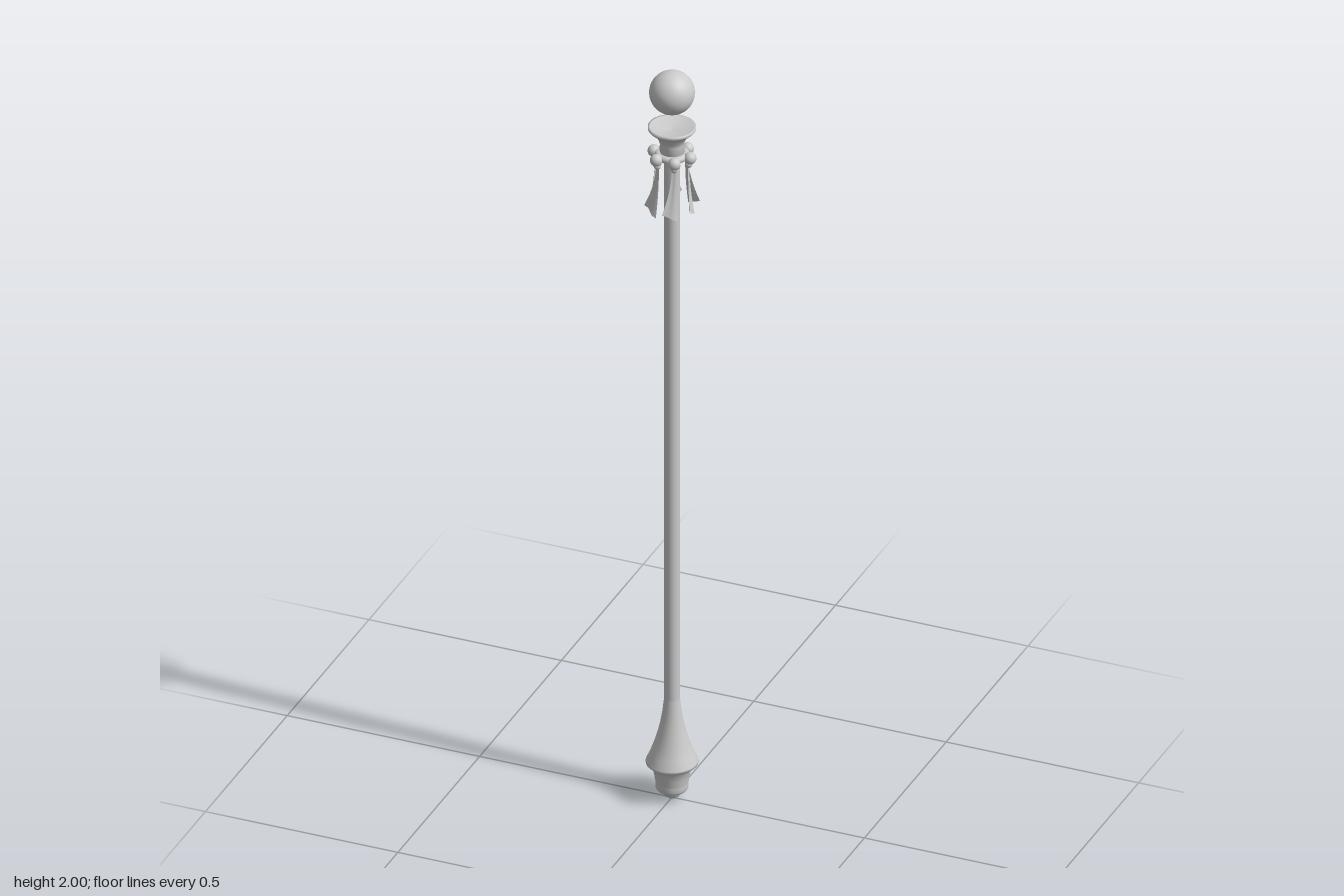
import * as THREE from 'three';

const grey = new THREE.MeshStandardMaterial({ color: 0xcccccc });
const greyThin = new THREE.MeshStandardMaterial({ color: 0xcccccc, side: THREE.DoubleSide });

function part(name, geometry, material = grey) {
  const mesh = new THREE.Mesh(geometry, material);
  mesh.name = name;
  return mesh;
}

function turned(name, points) {
  return part(name, new THREE.LatheGeometry(points.map(([r, y]) => new THREE.Vector2(r, y)), 32));
}

// Cloth strip hanging from a bead: narrow at the knot, flaring and drifting sideways
function ribbonGeometry() {
  const geo = new THREE.PlaneGeometry(1, 1, 4, 8);
  const p = geo.attributes.position;
  for (let i = 0; i < p.count; i++) {
    const u = p.getX(i);
    const t = 0.5 - p.getY(i);
    const width = 0.010 + 0.030 * t * t;
    const x = u * width - 0.012 * t * t;
    const y = 1.765 - t * (0.135 + 0.02 * u);
    const z = 0.043 + 0.014 * t * t + 0.004 * t * Math.sin(u * 6) - 0.006 * u * t;
    p.setXYZ(i, x, y, z);
  }
  geo.computeVertexNormals();
  return geo;
}

export function createModel() {
  const model = new THREE.Group();

  // Long pole
  const pole = part('pole', new THREE.CylinderGeometry(0.019, 0.019, 1.56, 24, 1, true));
  pole.position.y = 1.02;
  model.add(pole);

  // Flared pommel: bell, waist, lip and rounded tip
  model.add(turned('pommelBell', [
    [0.040, 0.045], [0.043, 0.065], [0.047, 0.083], [0.054, 0.092], [0.063, 0.098],
    [0.063, 0.104], [0.053, 0.125], [0.044, 0.15], [0.035, 0.18], [0.028, 0.21],
    [0.023, 0.24], [0.019, 0.275],
  ]));
  model.add(turned('pommelFoot', [
    [0, 0], [0.010, 0.002], [0.018, 0.008], [0.022, 0.018], [0.023, 0.024],
    [0.037, 0.026], [0.040, 0.032], [0.040, 0.045],
  ]));

  // Flared cup beneath the orb
  model.add(turned('cup', [
    [0.019, 1.765], [0.030, 1.785], [0.029, 1.805], [0.032, 1.815], [0.040, 1.83],
    [0.056, 1.843], [0.058, 1.846], [0.058, 1.852], [0.053, 1.852], [0.035, 1.846], [0, 1.842],
  ]));

  // Floating orb
  const orb = part('orb', new THREE.SphereGeometry(0.055, 32, 20));
  orb.position.y = 1.945;
  model.add(orb);

  // Collar that holds the beads
  const collar = part('collar', new THREE.TorusGeometry(0.033, 0.009, 10, 32));
  collar.rotation.x = Math.PI / 2;
  collar.position.y = 1.775;
  model.add(collar);

  // Beads with hanging ribbons around the collar
  const beadGeo = new THREE.SphereGeometry(0.0155, 16, 10);
  const knotGeo = new THREE.SphereGeometry(0.009, 12, 8);
  const clothGeo = ribbonGeometry();
  for (let i = 0; i < 6; i++) {
    const tassel = new THREE.Group();
    tassel.name = 'tassel';
    const bead = part('bead', beadGeo);
    bead.position.set(0, 1.774, 0.047);
    const knot = part('knot', knotGeo);
    knot.position.set(0, 1.757, 0.044);
    tassel.add(bead, knot, part('ribbon', clothGeo, greyThin));
    tassel.rotation.y = Math.PI / 2 + i * Math.PI / 3;
    model.add(tassel);
  }
  return model;
}
